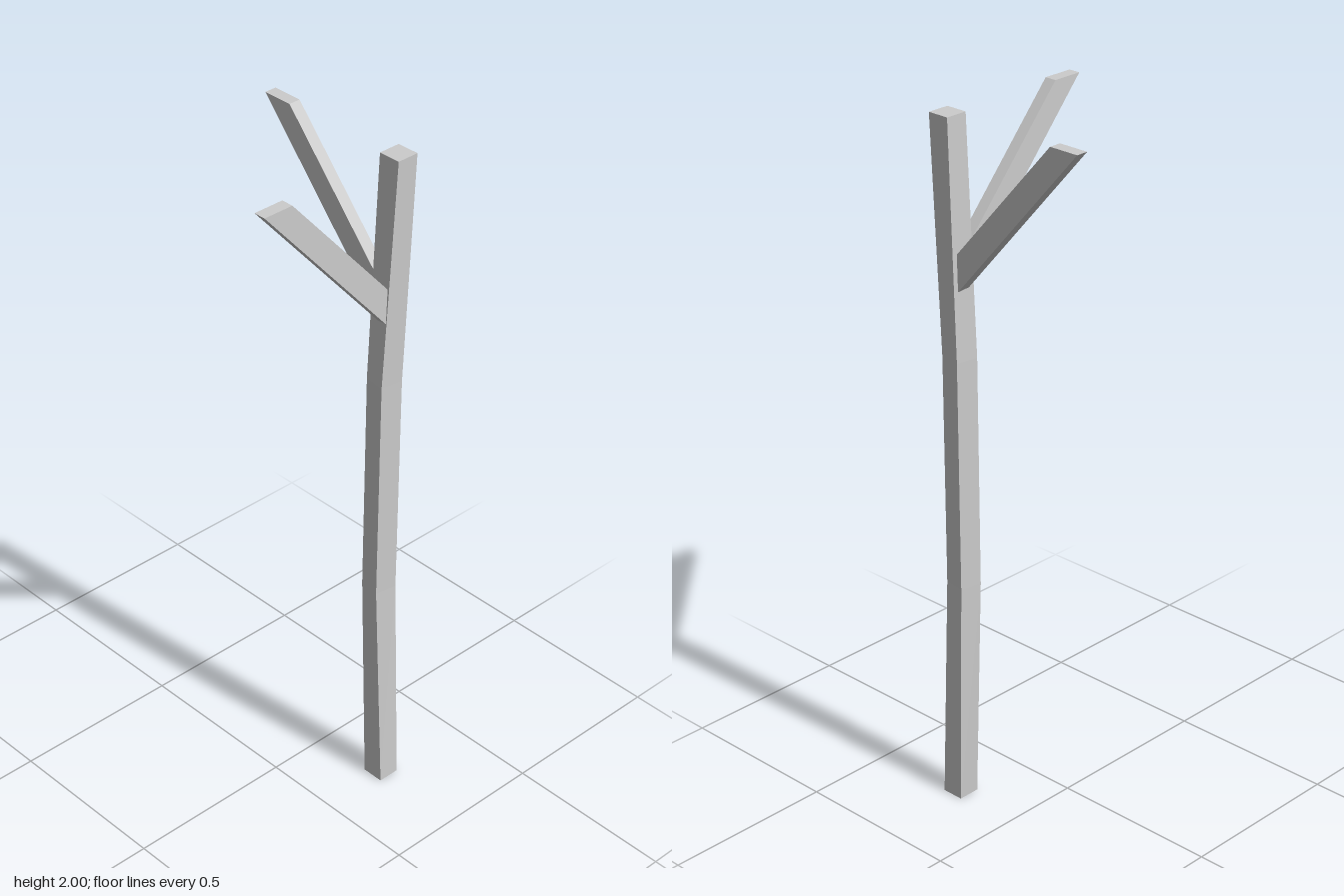
import * as THREE from 'three';

const material = new THREE.MeshStandardMaterial({ color: 0xcccccc, flatShading: true });

// Square post in three lengths; the middle one is twisted and bowed inward.
function createPost() {
  const geometry = new THREE.BoxGeometry(0.065, 2, 0.065, 1, 3, 1).toNonIndexed();
  const p = geometry.attributes.position;
  const c = Math.cos(0.154), s = Math.sin(0.154);
  for (let i = 0; i < p.count; i++) {
    const x = p.getX(i), y = p.getY(i), z = p.getZ(i);
    if (Math.abs(y) < 0.9) p.setXYZ(i, x * c - z * s + 0.2025, y + 1, x * s + z * c + 0.1945);
    else p.setXYZ(i, x + 0.2125, y + 1, z + 0.2125);
  }
  geometry.computeVertexNormals();
  const post = new THREE.Mesh(geometry, material);
  post.name = 'post';
  return post;
}

// Slanted brace cut level at the top and upright where it enters the post.
function createBrace(name) {
  const outline = new THREE.Shape([
    new THREE.Vector2(-0.247, 2),
    new THREE.Vector2(0.185, 1.513),
    new THREE.Vector2(0.185, 1.618),
    new THREE.Vector2(-0.157, 2),
  ]);
  const geometry = new THREE.ExtrudeGeometry(outline, { depth: 0.035, bevelEnabled: false });
  const brace = new THREE.Mesh(geometry, material);
  brace.name = name;
  return brace;
}

export function createModel() {
  const model = new THREE.Group();
  model.name = 'cornerPost';

  const sideBrace = createBrace('sideBrace');
  sideBrace.position.z = 0.191;

  const backBrace = createBrace('backBrace');
  backBrace.rotation.y = -Math.PI / 2;
  backBrace.position.x = 0.227;

  model.add(createPost(), sideBrace, backBrace);
  return model;
}
